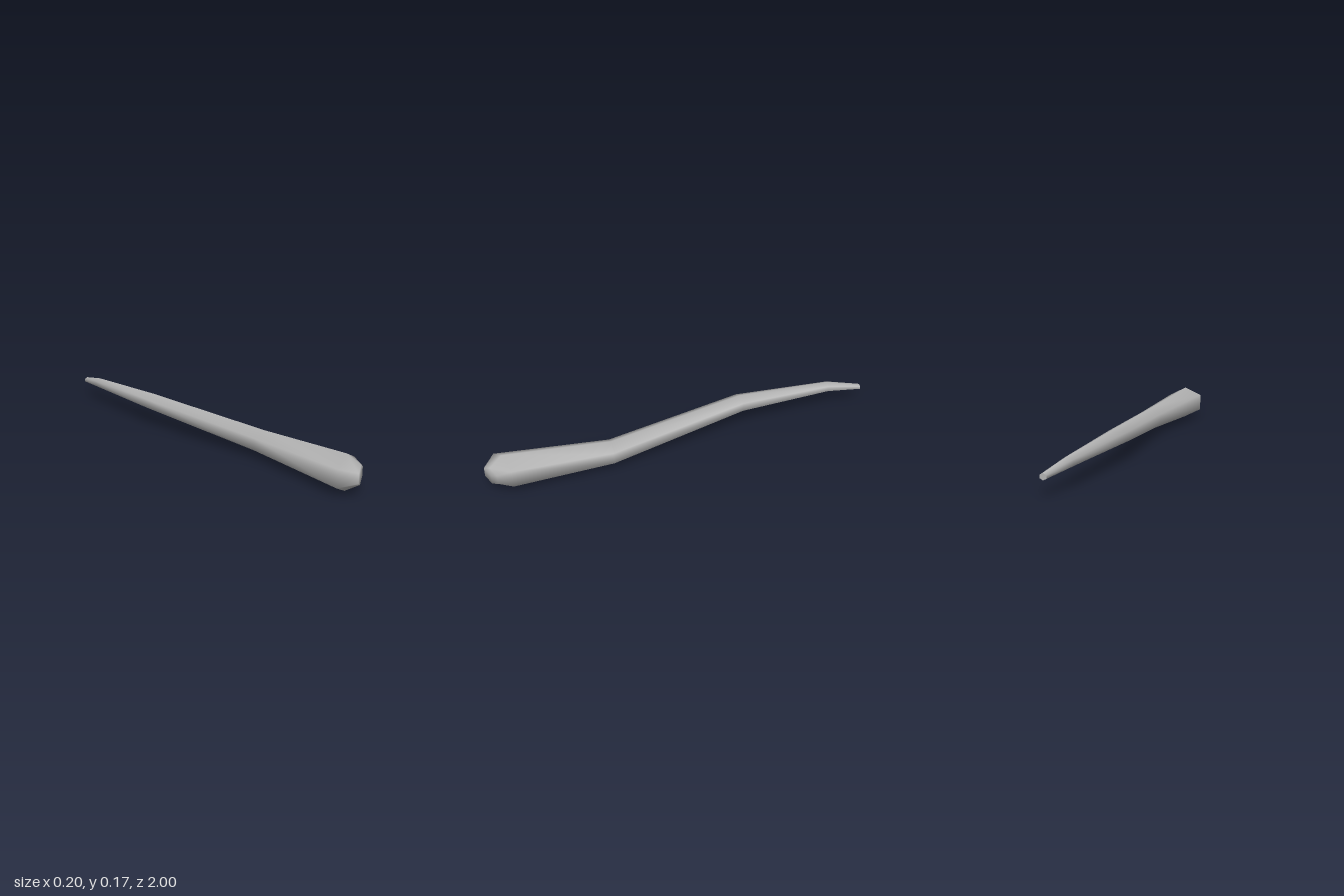
import * as THREE from 'three';

// Cross-sections from handle to tip: centre x, y, z, half width, half height, slope of z across x
const SECTIONS = [
  [0.03, 0.087, 0.973, 0.04, 0.046, -0.55],
  [0.007, 0.086, 0.91, 0.084, 0.086, -0.3],
  [0.038, 0.072, 0.392, 0.058, 0.059, 0.1],
  [-0.054, 0.119, -0.322, 0.046, 0.044, 0],
  [-0.039, 0.107, -0.823, 0.025, 0.0275, 0.3],
  [-0.009, 0.083, -1, 0.0145, 0.015, 0],
];
const SIDES = 6;

// Points of one six-sided ring, with a corner at top and bottom
function ring([cx, cy, cz, w, h, slope]) {
  return Array.from({ length: SIDES }, (_, i) => {
    const a = Math.PI / 6 + (i * Math.PI * 2) / SIDES;
    const dx = (Math.cos(a) / Math.cos(Math.PI / 6)) * w;
    return [cx + dx, cy + Math.sin(a) * h, cz + slope * dx];
  });
}

function makeGeometry(points, index) {
  const geometry = new THREE.BufferGeometry();
  geometry.setAttribute('position', new THREE.Float32BufferAttribute(points.flat(), 3));
  geometry.setIndex(index);
  geometry.computeVertexNormals();
  return geometry;
}

export function createModel() {
  const group = new THREE.Group();
  group.name = 'wand';
  const grey = new THREE.MeshStandardMaterial({ color: 0xb4b4b4 });
  grey.name = 'grey';

  // Bent shaft with a smooth rounded butt
  const points = SECTIONS.flatMap(ring);
  const index = [];
  for (let s = 0; s < SECTIONS.length - 1; s++) {
    for (let i = 0; i < SIDES; i++) {
      const j = (i + 1) % SIDES;
      const a = s * SIDES + i, b = s * SIDES + j;
      index.push(a, a + SIDES, b, b, a + SIDES, b + SIDES);
    }
  }
  const centre = points.length;
  points.push(SECTIONS[0].slice(0, 3));
  for (let i = 0; i < SIDES; i++) index.push(centre, i, (i + 1) % SIDES);
  const shaft = new THREE.Mesh(makeGeometry(points, index), grey);
  shaft.name = 'shaft';
  group.add(shaft);

  // Flat end of the tip
  const capIndex = [];
  for (let i = 1; i < SIDES - 1; i++) capIndex.push(0, i + 1, i);
  const tip = new THREE.Mesh(makeGeometry(ring(SECTIONS[SECTIONS.length - 1]), capIndex), grey);
  tip.name = 'tipEnd';
  group.add(tip);

  return group;
}
